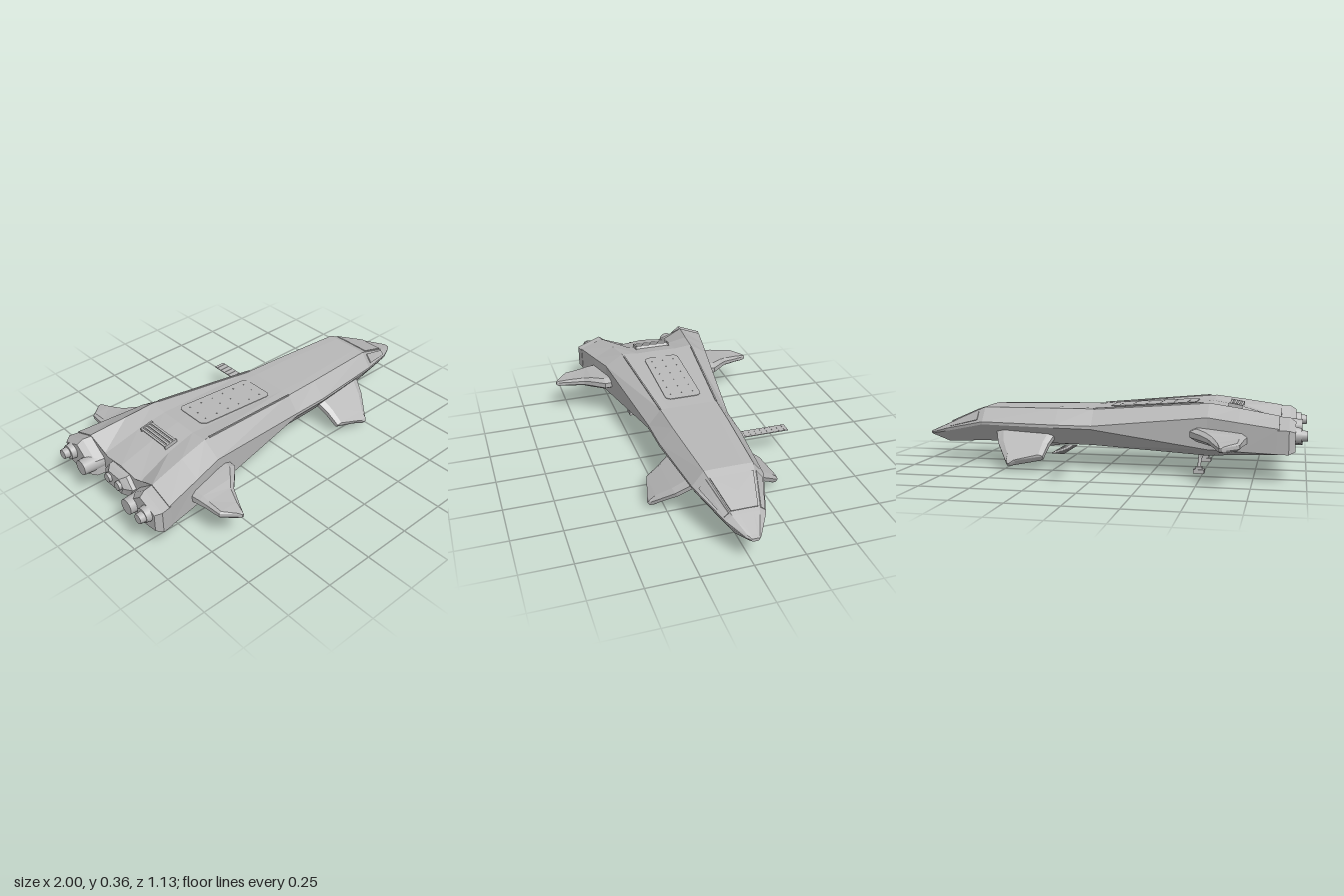
import * as THREE from 'three';

const grey = new THREE.MeshStandardMaterial({ color: 0xb8b8b8 });
grey.name = 'hullGrey';

// Closed flat-shaded skin through rings of [x, y, z]; turns itself outward
function loft(rings) {
  const n = rings[0].length, tris = [];
  const mid = r => [0, 1, 2].map(k => r.reduce((s, p) => s + p[k], 0) / n);
  for (let i = 0; i < rings.length - 1; i++) for (let j = 0; j < n; j++) {
    const k = (j + 1) % n, a = rings[i][j], b = rings[i][k], c = rings[i + 1][j], d = rings[i + 1][k];
    tris.push([a, b, c], [b, d, c]);
  }
  const first = rings[0], last = rings[rings.length - 1];
  for (let j = 0; j < n; j++) {
    const k = (j + 1) % n;
    tris.push([mid(first), first[k], first[j]], [mid(last), last[j], last[k]]);
  }
  let volume = 0;
  for (const [a, b, c] of tris) {
    volume += new THREE.Vector3(...a).dot(new THREE.Vector3(...b).cross(new THREE.Vector3(...c)));
  }
  if (volume < 0) tris.forEach(t => t.reverse());
  const g = new THREE.BufferGeometry();
  g.setAttribute('position', new THREE.Float32BufferAttribute(tris.flat(2), 3));
  g.computeVertexNormals();
  return g;
}

// Eight-sided blade section from xa to xb, thickness t along (ny, nz)
function foil(s, xa, xb, y, z, t, ny = 1, nz = 0, tilt = 0) {
  const shape = [[0, -0.25], [0.1, -0.5], [0.88, -0.5], [1, -0.22], [1, 0.22], [0.88, 0.5], [0.1, 0.5], [0, 0.25]];
  return shape.map(([u, v]) => [xa + (xb - xa) * u, y + v * t * ny + tilt * (u - 0.5), s * (z + v * t * nz)]);
}

// Thin panel over four corners, raised by h
function plate(corners, h) {
  const [a, b, c] = corners.map(p => new THREE.Vector3(...p));
  const nrm = b.clone().sub(a).cross(c.clone().sub(a)).normalize();
  if (nrm.y < 0) nrm.negate();
  const lift = d => corners.map(p => new THREE.Vector3(...p).addScaledVector(nrm, d).toArray());
  return loft([lift(-0.002), lift(h)]);
}

export function createModel() {
  const ship = new THREE.Group();
  ship.name = 'spaceship';
  const add = (name, geo, x = 0, y = 0, z = 0) => {
    const m = new THREE.Mesh(geo, grey);
    m.name = name;
    m.position.set(x, y, z);
    ship.add(m);
    return m;
  };
  const box = (name, w, h, d, x, y, z) => add(name, new THREE.BoxGeometry(w, h, d), x, y, z);
  const tube = (name, r0, r1, x0, x1, y, z) => {
    const g = new THREE.CylinderGeometry(r1, r0, x1 - x0, 16).rotateZ(-Math.PI / 2);
    return add(name, g, (x0 + x1) / 2, y, z);
  };
  const strut = (name, a, b, r) => {
    const p = new THREE.Vector3(...a), q = new THREE.Vector3(...b), dir = q.clone().sub(p);
    const m = add(name, new THREE.CylinderGeometry(r, r, dir.length(), 10));
    m.position.copy(p.add(q).multiplyScalar(0.5));
    m.quaternion.setFromUnitVectors(new THREE.Vector3(0, 1, 0), dir.normalize());
  };

  // Hull: x, then half section [z, y] from roof centre to belly centre
  const stations = [
    [-0.87, [0, 0.265], [0.14, 0.25], [0.245, 0.306], [0.366, 0.258], [0.366, 0.14], [0.285, 0.128], [0, 0.128]],
    [-0.68, [0, 0.32], [0.12, 0.315], [0.218, 0.335], [0.327, 0.278], [0.33, 0.14], [0.265, 0.115], [0, 0.115]],
    [-0.53, [0, 0.348], [0.11, 0.346], [0.2, 0.355], [0.295, 0.294], [0.295, 0.14], [0.25, 0.104], [0, 0.104]],
    [0.06, [0, 0.307], [0.1, 0.307], [0.15, 0.305], [0.215, 0.225], [0.215, 0.208], [0.15, 0.12], [0, 0.12]],
    [0.25, [0, 0.306], [0.1, 0.306], [0.143, 0.303], [0.212, 0.225], [0.212, 0.21], [0.146, 0.122], [0, 0.122]],
    [0.65, [0, 0.3], [0.07, 0.3], [0.12, 0.298], [0.176, 0.226], [0.174, 0.212], [0.11, 0.12], [0, 0.12]],
    [0.88, [0, 0.2], [0.035, 0.2], [0.065, 0.198], [0.095, 0.175], [0.092, 0.16], [0.05, 0.1], [0, 0.1]],
    [0.98, [0, 0.156], [0.015, 0.156], [0.028, 0.154], [0.036, 0.145], [0.034, 0.138], [0.02, 0.127], [0, 0.127]],
    [1.0, [0, 0.148], [0.01, 0.148], [0.016, 0.147], [0.02, 0.143], [0.019, 0.138], [0.012, 0.133], [0, 0.133]],
  ];
  add('hull', loft(stations.map(([x, ...half]) => [
    ...half.map(([z, y]) => [x, y, z]),
    ...half.slice(1, -1).reverse().map(([z, y]) => [x, y, -z]),
  ])));

  // Cockpit glazing
  add('windscreen', plate([[0.69, 0.282, -0.105], [0.69, 0.282, 0.105], [0.86, 0.209, 0.064], [0.86, 0.209, -0.064]], 0.004));
  const lerp = (a, b, t) => a + (b - a) * t;
  for (const s of [1, -1]) {
    const at = (u, v) => [
      lerp(0.65, 0.88, u),
      lerp(lerp(0.298, 0.198, u), lerp(0.226, 0.175, u), v),
      s * lerp(lerp(0.12, 0.065, u), lerp(0.176, 0.095, u), v),
    ];
    add('sideWindow', plate([at(0.15, 0.15), at(0.15, 0.8), at(0.92, 0.8), at(0.92, 0.15)], 0.004));
  }

  // Dorsal hatch with rounded corners and rivets
  const deck = new THREE.Group();
  deck.name = 'dorsalHatch';
  deck.position.set(-0.235, 0.3285, 0);
  deck.rotation.z = -Math.atan(0.041 / 0.59);
  ship.add(deck);
  const w = 0.22, d = 0.095, r = 0.03, outline = new THREE.Shape();
  outline.absarc(w - r, d - r, r, 0, Math.PI / 2);
  outline.absarc(r - w, d - r, r, Math.PI / 2, Math.PI);
  outline.absarc(r - w, r - d, r, Math.PI, Math.PI * 1.5);
  outline.absarc(w - r, r - d, r, Math.PI * 1.5, Math.PI * 2);
  const hatch = new THREE.Mesh(new THREE.ExtrudeGeometry(outline, { depth: 0.003, bevelEnabled: false, curveSegments: 5 }).rotateX(-Math.PI / 2), grey);
  hatch.name = 'hatchPanel';
  deck.add(hatch);
  for (let i = 0; i < 6; i++) for (const z of [-0.06, 0, 0.06]) {
    const rivet = new THREE.Mesh(new THREE.CylinderGeometry(0.003, 0.003, 0.003, 6), grey);
    rivet.name = 'rivet';
    rivet.position.set(-0.175 + i * 0.07, 0.004, z);
    deck.add(rivet);
  }

  // Louvred vent behind the hatch
  for (let i = 0; i < 4; i++) {
    box('ventSlat', 0.01, 0.016, 0.18, -0.675 + i * 0.018, 0.328 + i * 0.003, 0).rotation.z = 0.5;
  }
  for (const s of [1, -1]) box('ventFrame', 0.07, 0.022, 0.008, -0.648, 0.33, s * 0.093).rotation.z = 0.18;

  // Centre tail between the engine pods
  const tailRing = (x, hz, top, bottom) => [[x, top, -hz * 0.6], [x, top, hz * 0.6], [x, (top + bottom) / 2, hz], [x, bottom, hz * 0.7], [x, bottom, -hz * 0.7], [x, (top + bottom) / 2, -hz]];
  add('tailBlock', loft([tailRing(-0.8, 0.12, 0.27, 0.13), tailRing(-0.89, 0.11, 0.25, 0.14), tailRing(-0.915, 0.07, 0.235, 0.155)]));

  for (const s of [1, -1]) {
    // Engine pod with chamfered end and nozzles
    const pod = (x, k, shoulder) => [[0.15, 0.225], [0.248, 0.302], [0.375, 0.252], [0.375, 0.14], [0.288, 0.13], [0.15, 0.14]]
      .map(([z, y]) => [x, 0.2 + (y - 0.2) * k, s * (0.27 + (z - 0.27) * k - shoulder)]);
    add('enginePod', loft([pod(-0.86, 1, 0.009), pod(-0.915, 1, 0), pod(-0.945, 0.8, 0)]));
    tube('innerEngine', 0.038, 0.046, -0.978, -0.86, 0.2, s * 0.185);
    tube('engineHousing', 0.036, 0.044, -0.972, -0.92, 0.222, s * 0.3);
    tube('engineNozzle', 0.024, 0.028, -1, -0.96, 0.222, s * 0.305);
    tube('tailNozzle', 0.022, 0.026, -0.93, -0.88, 0.2, s * 0.04);

    // Rear wing growing from a thick root
    add('rearWing', loft([
      foil(s, -0.725, -0.45, 0.207, 0.26, 0.062, 1, 0, 0.018),
      foil(s, -0.725, -0.45, 0.205, 0.32, 0.062, 1, 0, 0.018),
      foil(s, -0.715, -0.505, 0.202, 0.38, 0.056, 1, 0, 0.014),
      foil(s, -0.708, -0.545, 0.197, 0.42, 0.045, 1, 0, 0.008),
      foil(s, -0.7, -0.583, 0.19, 0.5, 0.036),
      foil(s, -0.635, -0.608, 0.185, 0.555, 0.028),
      foil(s, -0.622, -0.612, 0.185, 0.567, 0.014),
    ]));
    // Drooping front fin
    add('frontFin', loft([
      foil(s, 0.255, 0.58, 0.175, 0.14, 0.05, 0.8, 0.6),
      foil(s, 0.28, 0.547, 0.12, 0.215, 0.05, 0.8, 0.6),
      foil(s, 0.29, 0.497, 0.068, 0.285, 0.044, 0.8, 0.6),
      foil(s, 0.425, 0.474, 0.045, 0.318, 0.036, 0.8, 0.6),
      foil(s, 0.45, 0.465, 0.036, 0.33, 0.018, 0.8, 0.6),
    ]));
    // Raised strip along the deck ridge
    add('ridgeStrip', plate([[-0.5, 0.353, s * 0.193], [-0.5, 0.353, s * 0.2], [0.06, 0.305, s * 0.153], [0.06, 0.305, s * 0.146]], 0.005));

    // Rear landing leg
    strut('rearStrut', [-0.485, 0.115, s * 0.145], [-0.48, 0.025, s * 0.165], 0.009);
    strut('rearBrace', [-0.5, 0.105, s * 0.15], [-0.48, 0.055, s * 0.16], 0.006);
    box('rearFootTop', 0.034, 0.014, 0.026, -0.48, 0.026, s * 0.166);
    box('rearFoot', 0.055, 0.02, 0.038, -0.48, 0.01, s * 0.167);
  }

  // Front landing leg
  strut('frontStrut', [0.535, 0.125, 0], [0.558, 0.03, 0], 0.01);
  strut('frontBrace', [0.57, 0.125, 0], [0.55, 0.07, 0], 0.006);
  box('frontFootTop', 0.034, 0.014, 0.026, 0.557, 0.034, 0);
  box('frontFoot', 0.055, 0.03, 0.038, 0.556, 0.016, 0);

  // Boarding ramp with treads
  box('ramp', 0.06, 0.004, 0.255, 0.148, 0.134, -0.3825);
  for (let i = 0; i < 8; i++) box('rampTread', 0.054, 0.002, 0.004, 0.148, 0.1365, -0.275 - i * 0.031);

  return ship;
}
